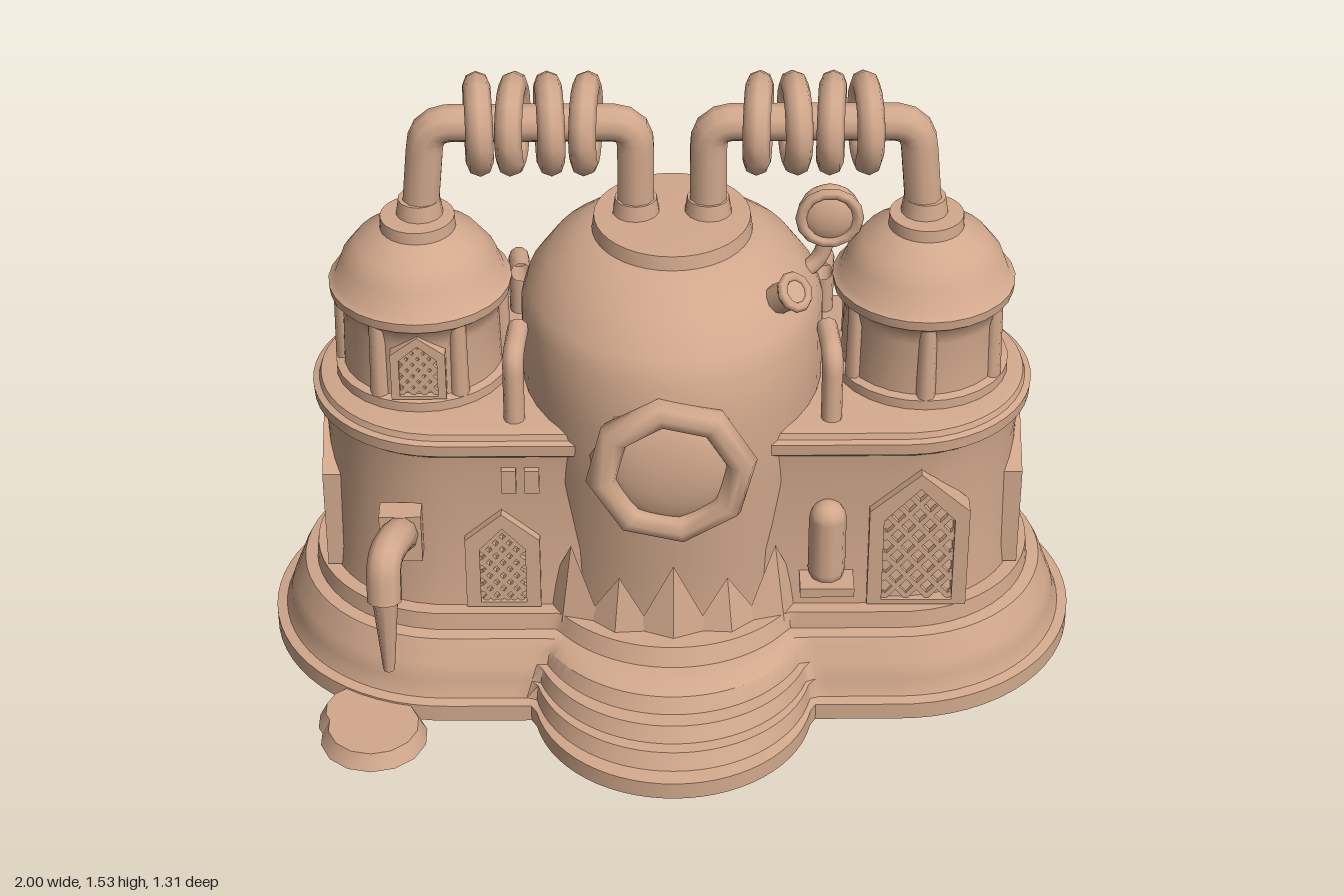
import * as THREE from 'three';
import { toCreasedNormals } from 'three/addons/utils/BufferGeometryUtils.js';

const CZ = -0.09; // common axis of dome and towers
const mat = new THREE.MeshStandardMaterial({ color: 0xd2a88c, side: THREE.DoubleSide });
const v = (x, y, z) => new THREE.Vector3(x, y, z);

function add(parent, name, geo, x = 0, y = 0, z = 0) {
  const m = new THREE.Mesh(geo, mat);
  m.name = name;
  m.position.set(x, y, z);
  parent.add(m);
  return m;
}

const profile = pts => pts.map(p => new THREE.Vector2(...p));

// Distance from the centre to a rounded-ended outline of radius R, with optional front and back bulges
function reach(a, R, front, back) {
  const dx = Math.cos(a), dz = Math.sin(a), half = 0.55, bulge = 0.34;
  const hit = (cx, cz, r) => {
    const b = dx * cx + dz * cz, q = b * b - cx * cx - cz * cz + r * r;
    return q > 0 ? b + Math.sqrt(q) : 0;
  };
  const flat = R / Math.max(Math.abs(dz), 1e-6);
  let t = Math.abs(flat * dx) <= half ? flat : hit(Math.sign(dx) * half, 0, R);
  if (front) t = Math.max(t, hit(0, front - CZ - bulge, bulge));
  if (back) t = Math.max(t, hit(0, back - CZ + bulge, bulge));
  return t;
}

// Skin through outlines, each given as [y, R, front, back]
function loft(sections, n = 144) {
  const pos = [], idx = [];
  sections.forEach(([y, R, f, b], j) => {
    for (let i = 0; i < n; i++) {
      const a = i / n * Math.PI * 2, t = reach(a, R, f, b);
      pos.push(t * Math.cos(a), y, CZ + t * Math.sin(a));
      if (j) {
        const k = (i + 1) % n, p = (j - 1) * n, q = j * n;
        idx.push(p + i, q + i, p + k, p + k, q + i, q + k);
      }
    }
  });
  const g = new THREE.BufferGeometry();
  g.setAttribute('position', new THREE.Float32BufferAttribute(pos, 3));
  g.setIndex(idx);
  return toCreasedNormals(g, 0.6);
}

// Pipe through points with rounded corners
function pipe(pts, r, round = 0.07, seg = 40) {
  const path = new THREE.CurvePath();
  let from = pts[0];
  for (let i = 1; i < pts.length - 1; i++) {
    const p = pts[i];
    const a = p.clone().add(pts[i - 1].clone().sub(p).setLength(round));
    const b = p.clone().add(pts[i + 1].clone().sub(p).setLength(round));
    path.add(new THREE.LineCurve3(from, a));
    path.add(new THREE.QuadraticBezierCurve3(a, p, b));
    from = b;
  }
  path.add(new THREE.LineCurve3(from, pts[pts.length - 1]));
  return new THREE.TubeGeometry(path, seg, r, 10);
}

// Pointed window: frame and diagonal lattice, facing +z
function archWindow(w, h, border) {
  const g = new THREE.Group();
  g.name = 'latticeWindow';
  const outline = (s, w, h, y) => {
    s.moveTo(-w / 2, y); s.lineTo(w / 2, y); s.lineTo(w / 2, y + h * 0.72);
    s.lineTo(0, y + h); s.lineTo(-w / 2, y + h * 0.72); s.closePath();
    return s;
  };
  const shape = outline(new THREE.Shape(), w + 2 * border, h + 1.6 * border, -border * 0.4);
  shape.holes.push(outline(new THREE.Path(), w, h, 0));
  add(g, 'windowFrame', new THREE.ExtrudeGeometry(shape, { depth: 0.055, bevelEnabled: false }), 0, 0, -0.04);
  const inside = (x, y) => Math.abs(x) <= w / 2 && y >= 0 && y <= h - Math.abs(x) * 0.56 * h / w;
  const gap = w / 2.8, slope = 1.2, len = Math.hypot(1, slope);
  for (const s of [-1, 1]) for (let c = -h; c < 2 * h; c += gap) {
    const xs = [];
    for (let i = 0; i <= 60; i++) {
      const x = w * (i / 60 - 0.5);
      if (inside(x, c + s * slope * x)) xs.push(x);
    }
    if (xs.length < 4) continue;
    const a = xs[0], b = xs[xs.length - 1], mid = (a + b) / 2;
    const bar = add(g, 'latticeBar', new THREE.BoxGeometry((b - a) * len, 0.013, 0.014), mid, c + s * slope * mid, 0);
    bar.rotation.z = Math.atan(s * slope);
  }
  return g;
}

export function createModel() {
  const model = new THREE.Group();
  model.name = 'domedBuilding';

  // Hollow stepped base
  add(model, 'steppedBase', loft([
    [0.2, 0.31, 0.37, -0.46], [0.02, 0.4, 0.59, -0.6], [0, 0.41, 0.61, -0.62], [0, 0.45, 0.65, -0.66],
    [0.045, 0.45, 0.65, -0.66], [0.05, 0.425, 0.61, -0.62], [0.09, 0.41, 0.59, -0.61], [0.092, 0.41, 0.56, -0.6],
    [0.13, 0.395, 0.54, -0.58], [0.132, 0.394, 0.5, -0.565], [0.17, 0.38, 0.48, -0.55], [0.19, 0.37, 0.44, -0.54],
    [0.195, 0.34, 0.4, -0.5], [0.24, 0.335, 0.38, -0.49], [0.242, 0.28, 0.26, -0.4]]));

  // Main walls with overhanging deck
  add(model, 'wallsAndDeck', loft([
    [0.2, 0.305], [0.3, 0.295], [0.6, 0.29], [0.68, 0.3], [0.695, 0.318], [0.725, 0.32],
    [0.73, 0.305], [0.745, 0.3], [0.75, 0.28], [0.75, 0.01]]));

  // Central dome, swelling towards the front
  const dome = new THREE.LatheGeometry(profile([
    [0.355, 0.2], [0.357, 0.4], [0.36, 0.6], [0.362, 0.8], [0.36, 0.95], [0.345, 1.0], [0.295, 1.07],
    [0.225, 1.125], [0.19, 1.135], [0.185, 1.17], [0, 1.175]]), 40);
  const dp = dome.attributes.position;
  for (let i = 0; i < dp.count; i++) {
    const y = dp.getY(i), z = dp.getZ(i);
    const swell = THREE.MathUtils.smoothstep(y, 0.35, 0.65) * (1 - THREE.MathUtils.smoothstep(y, 0.85, 1.13));
    dp.setZ(i, z > 0 ? z * (1.05 + 0.11 * swell) : z);
  }
  add(model, 'dome', toCreasedNormals(dome, 0.7), 0, 0, CZ);

  // Round front window
  const porthole = new THREE.Group();
  porthole.name = 'roundWindow';
  porthole.position.set(-0.005, 0.72, 0.3);
  add(porthole, 'roundFrame', new THREE.TorusGeometry(0.165, 0.038, 8, 8).rotateZ(0.15), 0, 0, 0.02);
  add(porthole, 'roundCollar', new THREE.CylinderGeometry(0.185, 0.2, 0.12, 8, 1, true).rotateX(Math.PI / 2), 0, 0, -0.05);
  add(porthole, 'glass', new THREE.SphereGeometry(0.155, 24, 12).scale(1, 1, 0.35));
  model.add(porthole);

  // Broad pointed teeth around the foot of the dome
  for (const [dir, r] of [[1, 0.4], [-1, 0.375]]) for (let i = -2; i <= 2; i++) {
    const a = i * 0.33, h = i % 2 ? 0.16 : 0.21;
    const tooth = add(model, 'tooth', toCreasedNormals(new THREE.ConeGeometry(0.1, h, 4).scale(1, 1, 0.4), 0.3),
      Math.sin(a) * r, 0.22 + h / 2, CZ + dir * Math.cos(a) * r);
    tooth.rotation.y = dir * a;
  }

  for (const s of [-1, 1]) {
    // Side turret with posts under a domed cap
    const x = s * 0.6;
    add(model, 'turret', toCreasedNormals(new THREE.LatheGeometry(profile([
      [0.212, 0.74], [0.212, 0.775], [0.192, 0.78], [0.188, 0.92], [0.197, 0.96], [0.215, 0.975], [0.218, 1.0],
      [0.203, 1.01], [0.185, 1.06], [0.15, 1.105], [0.1, 1.135], [0.09, 1.14], [0.088, 1.17], [0, 1.172]]), 28), 0.7), x, 0, CZ);
    for (let i = 0; i < 6; i++) {
      const a = (i + (s < 0 ? 0 : 0.5)) / 6 * Math.PI * 2;
      add(model, 'turretPost', new THREE.CylinderGeometry(0.02, 0.024, 0.2, 8),
        x + 0.188 * Math.cos(a), 0.87, CZ + 0.188 * Math.sin(a));
    }

    // Bridging pipe with coil rings
    add(model, 'bridgePipe', pipe([v(s * 0.595, 1.15, -0.1), v(s * 0.57, 1.41, -0.1), v(s * 0.085, 1.41, -0.1), v(s * 0.085, 1.15, -0.1)], 0.045, 0.06));
    for (const px of [0.595, 0.085])
      add(model, 'pipeFoot', new THREE.CylinderGeometry(0.05, 0.058, 0.05, 14), s * px, 1.185, -0.1);
    [0.2, 0.285, 0.37, 0.45].forEach((rx, i) => {
      const ring = add(model, 'coilRing', new THREE.TorusGeometry(0.092, 0.032, 8, 14), s * rx, 1.405, -0.105);
      ring.rotation.y = Math.PI / 2 + (i % 2 ? 0.08 : -0.08);
    });

    // Small elbow pipes rising from the deck
    for (const d of [-1, 1])
      add(model, 'elbowPipe', pipe([v(s * 0.375, 0.73, CZ + d * 0.24), v(s * 0.375, 0.92, CZ + d * 0.23), v(s * 0.365, 0.93, CZ + d * 0.12)], 0.025, 0.04, 16));
  }

  // Lattice windows: [width, height, border, x, y, z, turn]
  for (const [w, h, b, x, y, z, turn] of [
    [0.17, 0.33, 0.035, 0.59, 0.26, 0.208, 0], [0.17, 0.33, 0.035, 0.59, 0.26, -0.388, Math.PI],
    [0.21, 0.32, 0.035, 0.835, 0.26, CZ, Math.PI / 2], [0.21, 0.32, 0.035, -0.835, 0.26, CZ, -Math.PI / 2],
    [0.11, 0.22, 0.035, -0.41, 0.26, 0.21, 0], [0.11, 0.22, 0.035, -0.41, 0.26, -0.39, Math.PI],
    [0.09, 0.14, 0.02, -0.6, 0.79, 0.1, 0]]) {
    const win = archWindow(w, h, b);
    win.position.set(x, y, z);
    win.rotation.y = turn;
    model.add(win);
  }

  // Spout with a drip and the puddle below it
  add(model, 'spout', pipe([v(-0.65, 0.44, 0.2), v(-0.65, 0.52, 0.29), v(-0.68, 0.53, 0.4), v(-0.68, 0.42, 0.42)], 0.042, 0.05, 24));
  add(model, 'spoutBracket', new THREE.BoxGeometry(0.1, 0.13, 0.06), -0.65, 0.47, 0.22);
  add(model, 'drip', new THREE.CylinderGeometry(0.034, 0.014, 0.25, 8), -0.68, 0.33, 0.412);
  for (const [r, x, z] of [[0.13, -0.725, 0.42], [0.11, -0.755, 0.36]])
    add(model, 'puddle', toCreasedNormals(new THREE.CylinderGeometry(r - 0.02, r, 0.04, 14), 0.6), x, 0.02, z);

  // Round dish on a bent stem and a stubby vent beside it
  const dish = new THREE.Group();
  dish.name = 'dish';
  dish.position.set(0.37, 1.17, -0.09);
  add(dish, 'dishBowl', new THREE.SphereGeometry(0.075, 16, 10).scale(1, 1, 0.55));
  add(dish, 'dishRim', new THREE.TorusGeometry(0.067, 0.014, 6, 14), 0, 0, 0.025);
  add(dish, 'dishStem', pipe([v(0, -0.06, 0), v(-0.02, -0.13, 0), v(-0.09, -0.18, 0.02)], 0.02, 0.03, 12));
  model.add(dish);
  const vent = new THREE.Group();
  vent.name = 'vent';
  vent.position.set(0.25, 1.06, 0.11);
  vent.quaternion.setFromUnitVectors(v(0, 1, 0), v(0.55, 0.6, 0.5).normalize());
  add(vent, 'ventPipe', new THREE.CylinderGeometry(0.036, 0.036, 0.12, 10));
  add(vent, 'ventRim', new THREE.TorusGeometry(0.037, 0.013, 6, 10).rotateX(Math.PI / 2), 0, 0.055, 0);
  model.add(vent);

  // Small wall fittings on the front
  for (const x of [-0.39, -0.335]) add(model, 'wallPlaque', new THREE.BoxGeometry(0.035, 0.065, 0.03), x, 0.615, 0.207);
  add(model, 'wallTank', new THREE.CapsuleGeometry(0.045, 0.15, 4, 10), 0.37, 0.43, 0.215);
  add(model, 'tankTray', new THREE.BoxGeometry(0.13, 0.025, 0.1), 0.37, 0.325, 0.23);

  return model;
}
